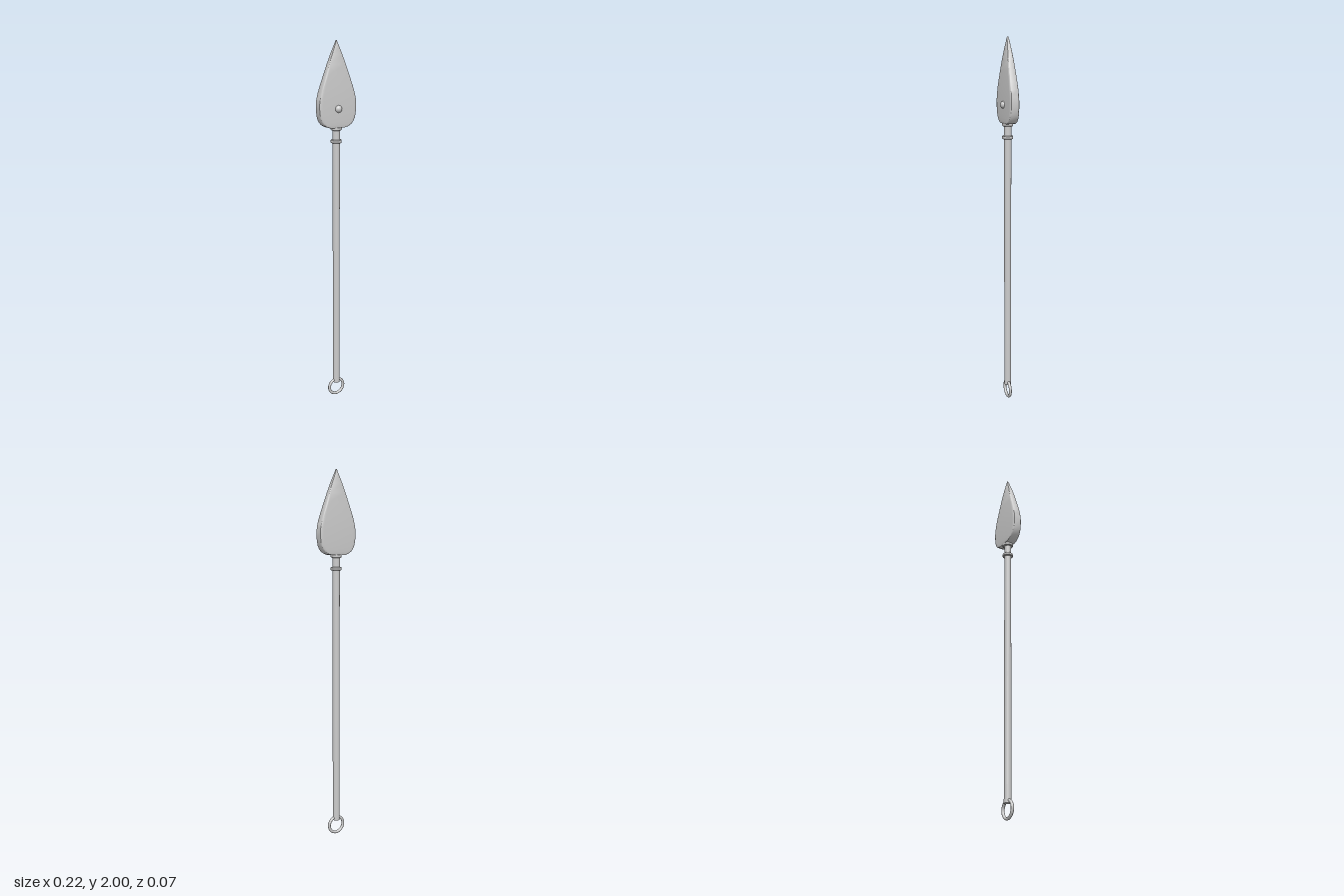
import * as THREE from 'three';
import { toCreasedNormals } from 'three/addons/utils/BufferGeometryUtils.js';

const AXIS_Z = -0.006;

// Leaf-shaped blade lofted upward from bevelled rectangular sections: [y, half width, half depth]
function bladeGeometry() {
  const rows = [
    [1.56, 0.045, 0.026], [1.564, 0.06, 0.026], [1.575, 0.08, 0.026], [1.59, 0.093, 0.026],
    [1.61, 0.102, 0.026], [1.64, 0.107, 0.026], [1.675, 0.109, 0.0255], [1.705, 0.106, 0.025],
    [1.74, 0.098, 0.024], [1.78, 0.085, 0.0225], [1.83, 0.067, 0.02], [1.88, 0.049, 0.017],
    [1.93, 0.03, 0.0125], [1.97, 0.013, 0.008], [2, 0.0005, 0.004],
  ];
  const pos = [], index = [];
  for (const [y, w, d] of rows) {
    const quarter = [[w, d * 0.78], [w * 0.975, d * 0.9], [w * 0.92, d * 0.97], [w * 0.82, d]];
    const back = quarter.map(([x, z]) => [x, -z]).reverse();
    const right = [...back, ...quarter];
    const left = right.map(([x, z]) => [-x, z]).reverse();
    for (const [x, z] of [...right, ...left]) pos.push(x, y, z);
  }
  const n = 16, last = (rows.length - 1) * n;
  for (let r = 0; r < rows.length - 1; r++) {
    for (let i = 0; i < n; i++) {
      const a = r * n + i, b = r * n + (i + 1) % n;
      index.push(a, a + n, b, b, a + n, b + n);
    }
  }
  // bottom and tip caps
  for (let i = 1; i < n - 1; i++) {
    index.push(0, i, i + 1);
    index.push(last, last + i + 1, last + i);
  }
  const geo = new THREE.BufferGeometry();
  geo.setAttribute('position', new THREE.Float32BufferAttribute(pos, 3));
  geo.setIndex(index);
  return toCreasedNormals(geo, 0.7);
}

export function createModel() {
  const group = new THREE.Group();
  const material = new THREE.MeshStandardMaterial({ color: 0xcccccc });
  const add = (name, geometry, y, z = AXIS_Z) => {
    const mesh = new THREE.Mesh(geometry, material);
    mesh.name = name;
    mesh.position.set(0, y, z);
    group.add(mesh);
    return mesh;
  };

  add('blade', bladeGeometry(), 0);

  // Rivet on the front of the blade
  add('rivet', new THREE.SphereGeometry(0.02, 20, 14), 1.657, 0.015);

  // Shaft running from the ring up into the blade
  add('shaft', new THREE.CylinderGeometry(0.019, 0.019, 1.49, 24), 0.082 + 0.745);

  // Collars with softly chamfered rims
  const r = 0.029, h = 0.009;
  const profile = [[0.015, -h], [r - 0.003, -h], [r, -h + 0.003], [r, h - 0.003], [r - 0.003, h], [0.015, h]]
    .map(([x, y]) => new THREE.Vector2(x, y));
  const collar = toCreasedNormals(new THREE.LatheGeometry(profile, 24), 0.6);
  add('upperCollar', collar, 1.554);
  add('lowerCollar', collar, 1.487);

  // Hanging ring at the butt of the shaft
  add('ring', new THREE.TorusGeometry(0.045, 0.008, 12, 36), 0.053);

  return group;
}
